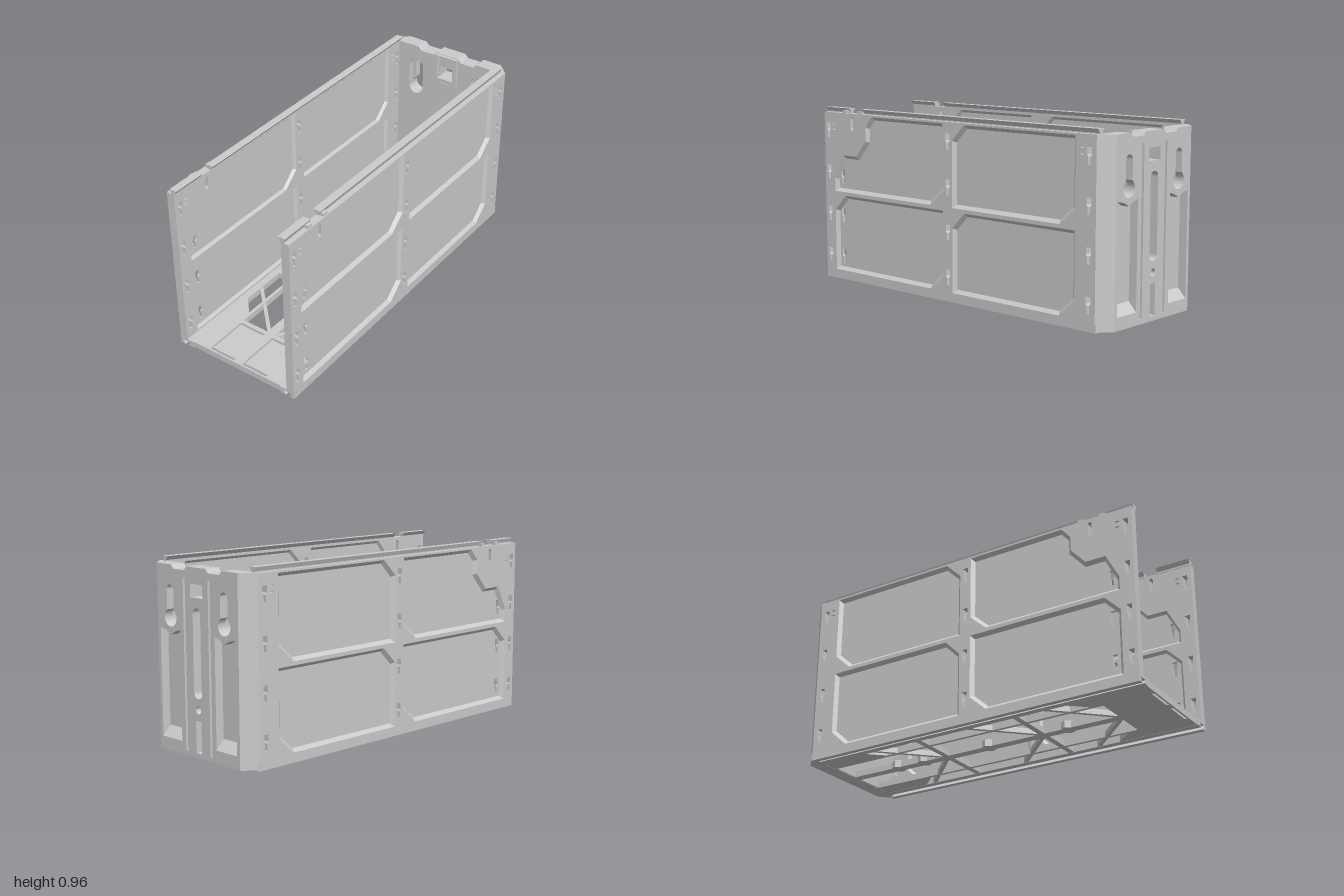
import * as THREE from 'three';

const mat = new THREE.MeshStandardMaterial({ color: 0xcccccc, flatShading: true, side: THREE.DoubleSide });
const V = (x, y) => new THREE.Vector2(x, y);
const pts = (a) => a.map(([x, y]) => V(x, y));
const rect = (x0, y0, x1, y1) => pts([[x0, y0], [x1, y0], [x1, y1], [x0, y1]]);
const circle = (x, y, r, n = 24) => Array.from({ length: n }, (_, i) =>
  V(x + r * Math.cos(i / n * Math.PI * 2), y + r * Math.sin(i / n * Math.PI * 2)));

// vertical slot with round ends; the lower end may be wider than the slot
function keyhole(x, yLow, rLow, yTop, rTop) {
  const out = [], a = Math.acos(rTop / rLow);
  for (let i = 0; i <= 12; i++) {
    const t = i / 12 * Math.PI;
    out.push(V(x + rTop * Math.cos(t), yTop + rTop * Math.sin(t)));
  }
  for (let i = 0; i <= 20; i++) {
    const t = Math.PI - a + i / 20 * (Math.PI + 2 * a);
    out.push(V(x + rLow * Math.cos(t), yLow + rLow * Math.sin(t)));
  }
  return out;
}

function plate(outline, holes, depth) {
  const s = new THREE.Shape(outline);
  s.holes = holes.map((h) => new THREE.Path(h));
  return new THREE.ExtrudeGeometry(s, { depth, bevelEnabled: false });
}

function add(group, name, geo) {
  const m = new THREE.Mesh(geo, mat);
  m.name = name;
  group.add(m);
  return m;
}

function box(group, name, x0, x1, y0, y1, z0, z1) {
  return add(group, name, new THREE.BoxGeometry(x1 - x0, y1 - y0, z1 - z0)
    .translate((x0 + x1) / 2, (y0 + y1) / 2, (z0 + z1) / 2));
}

// polygon moved inward by d
function inset(poly, d) {
  const s = THREE.ShapeUtils.area(poly) > 0 ? 1 : -1, n = poly.length;
  return poly.map((p, i) => {
    const a = p.clone().sub(poly[(i + n - 1) % n]).normalize();
    const b = poly[(i + 1) % n].clone().sub(p).normalize();
    const na = V(-a.y * s, a.x * s), nb = V(-b.y * s, b.x * s);
    return p.clone().addScaledVector(na.clone().add(nb), d / (1 + na.dot(nb)));
  });
}

// sloped ring between a polygon at height a and its inset at height b
function bevelRing(poly, d, a, b) {
  const q = inset(poly, d), pos = [], n = poly.length;
  for (let i = 0; i < n; i++) {
    const j = (i + 1) % n;
    const A = [poly[i].x, poly[i].y, a], B = [poly[j].x, poly[j].y, a];
    const C = [q[j].x, q[j].y, b], D = [q[i].x, q[i].y, b];
    pos.push(...A, ...B, ...C, ...A, ...C, ...D);
  }
  const g = new THREE.BufferGeometry();
  g.setAttribute('position', new THREE.Float32BufferAttribute(pos, 3));
  g.computeVertexNormals();
  return g;
}

// stepped mounting slot: wide above, narrow below
const mountSlot = (z, y) => pts([[-z - 0.008, y - 0.045], [-z + 0.008, y - 0.045], [-z + 0.008, y - 0.01],
  [-z + 0.015, y], [-z + 0.015, y + 0.035], [-z - 0.015, y + 0.035], [-z - 0.015, y], [-z - 0.008, y - 0.01]]);
const panelOutline = (z0, z1, y0, y1) => pts([[-z0, y0], [-z1 - 0.095, y0], [-z1, y0 + 0.085],
  [-z1, y1], [-z0 + 0.085, y1], [-z0, y1 - 0.085]]);

function sideWall() {
  const g = new THREE.Group();
  const toWall = (geo) => geo.rotateY(Math.PI / 2).translate(0.32, 0, 0);
  const panels = [
    pts([[-0.92, 0.495], [-0.16, 0.495], [-0.065, 0.58], [-0.065, 0.925], [-0.61, 0.925], [-0.66, 0.866],
      [-0.66, 0.79], [-0.74, 0.70], [-0.85, 0.70], [-0.92, 0.567]]),
    panelOutline(0, -0.81, 0.495, 0.925),
    panelOutline(0.92, 0.065, 0.05, 0.475),
    panelOutline(0, -0.81, 0.05, 0.475),
  ];
  const slots = [];
  for (const z of [0.965, 0.032, -0.893])
    for (const y of [0.84, 0.605, 0.37, 0.135]) slots.push(mountSlot(z, y));
  for (const z of [0.92, -0.85])
    for (const y of [0.84, 0.87]) slots.push(rect(-z - 0.011, y - 0.003, -z + 0.011, y + 0.003));
  slots.push(keyhole(-0.77, 0.855, 0.011, 0.905, 0.011));
  add(g, 'wallFrame', toWall(plate(rect(-1, 0.04, 0.93, 0.935), [...panels, ...slots], 0.045)));

  // thin panels with sloped borders on both faces
  const webSlots = [[mountSlot(0.872, 0.585)], [], [mountSlot(0.872, 0.365), mountSlot(0.872, 0.135)], []];
  panels.forEach((p, i) => {
    add(g, 'wallPanel', toWall(plate(p, webSlots[i], 0.013).translate(0, 0, 0.014)));
    add(g, 'outerPanelBevel', toWall(bevelRing(p, 0.018, 0.045, 0.027)));
    add(g, 'innerPanelBevel', toWall(bevelRing(p, 0.014, 0, 0.014)));
  });

  // dovetail rail on the top edge, interrupted by a latch gap
  const rail = pts([[0.317, 0.93], [0.337, 0.93], [0.337, 0.94], [0.345, 0.96], [0.302, 0.96], [0.317, 0.94]]);
  for (const [a, b] of [[-0.93, 0.735], [0.81, 1]])
    add(g, 'topRail', plate(rail, [], b - a).translate(0, 0, a));
  for (const z of [0.715, 0.835]) box(g, 'latchStop', 0.325, 0.36, 0.93, 0.95, z - 0.015, z + 0.015);

  // bottom edge with matching dovetail groove
  const foot = pts([[0.28, 0.04], [0.28, 0.005], [0.317, 0.005], [0.302, 0.026], [0.352, 0.026],
    [0.337, 0], [0.365, 0], [0.365, 0.04]]);
  add(g, 'bottomGroove', plate(foot, [], 1.94).translate(0, 0, -0.94));

  // chamfered rear corner; shape y is -z
  const corner = pts([[0.295, 0.92], [0.365, 0.92], [0.365, 0.935], [0.30, 1], [0.295, 1]]);
  add(g, 'rearCorner', plate(corner, [], 0.93).rotateX(-Math.PI / 2).translate(0, 0.005, 0));
  return g;
}

function backWall() {
  const g = new THREE.Group();
  g.name = 'backWall';
  const half = [[0.30, 0.935], [0.19, 0.935], [0.17, 0.915], [0.09, 0.915], [0.07, 0.935]];
  const outline = pts([[-0.30, 0.005], [0.30, 0.005], ...half, ...half.map(([x, y]) => [-x, y]).reverse()]);
  const windowHole = rect(-0.045, 0.79, 0.045, 0.855);
  const inner = [windowHole, circle(0, 0.245, 0.03)];
  const outer = [windowHole, circle(0, 0.245, 0.02), keyhole(0, 0.33, 0.03, 0.71, 0.03), rect(-0.02, 0.03, 0.02, 0.19)];
  for (const s of [-1, 1]) {
    inner.push(keyhole(s * 0.2, 0.675, 0.045, 0.81, 0.045));
    outer.push(keyhole(s * 0.2, 0.675, 0.045, 0.81, 0.026));
    outer.push(pts([[0.13, 0.07], [0.28, 0.07], [0.28, 0.62], [0.235, 0.61], [0.2, 0.59], [0.165, 0.61], [0.13, 0.62]]
      .map(([x, y]) => [x * s, y])));
    outer.push(rect(s * 0.085, 0.03, s * 0.1, 0.88));
  }
  add(g, 'backInnerPlate', plate(outline, inner, 0.035).translate(0, 0, -0.955));
  add(g, 'backOuterPlate', plate(outline, outer, 0.045).translate(0, 0, -1));
  // countersink of the lower screw hole
  add(g, 'countersink', new THREE.CylinderGeometry(0.042, 0.02, 0.036, 24, 1, true)
    .rotateX(Math.PI / 2).translate(0, 0.245, -0.937));
  // sloped ledges at the foot of the rear pockets
  const ledge = plate(pts([[0.954, 0.07], [1, 0.07], [0.954, 0.12]]), [], 0.15).rotateY(Math.PI / 2);
  for (const x of [0.13, -0.28]) {
    const m = add(g, 'pocketLedge', ledge.clone());
    m.scale.z = 1;
    m.geometry.scale(1, 1, 1).translate(x, 0, 0);
  }
  // raised latch housing around the window
  const housing = rect(-0.073, 0.765, 0.073, 0.932);
  add(g, 'latchHousing', plate(housing, [rect(-0.05, 0.79, 0.05, 0.925)], 0.02).translate(0, 0, -0.92));
  box(g, 'latchLip', -0.027, 0.027, 0.757, 0.768, -0.92, -0.895);
  return g;
}

function floor() {
  const g = new THREE.Group();
  g.name = 'floor';
  const lie = (geo, y) => geo.rotateX(-Math.PI / 2).translate(0, y, 0);
  const holes = [], pockets = [];
  for (const s of [-1, 1]) {
    holes.push(rect(s * 0.025, -0.715, s * 0.182, 0.91));
    holes.push(pts([[0.2, 0.56], [0.285, 0.65], [0.285, -0.56], [0.2, -0.65]].map(([x, y]) => [x * s, y])));
    holes.push(rect(s * 0.025, -0.985, s * 0.182, -0.972));
    pockets.push(rect(s * 0.025, -0.965, s * 0.182, -0.74));
  }
  const outline = rect(-0.295, -0.995, 0.295, 0.94);
  add(g, 'floorBase', lie(plate(outline, holes, 0.02), 0.006));
  add(g, 'floorTop', lie(plate(outline, [...holes, ...pockets], 0.014), 0.026));

  // cross bars and diagonal braces
  for (const z of [-0.305, 0.28]) box(g, 'crossBar', -0.3, 0.3, 0.006, 0.038, z - 0.016, z + 0.016);
  for (const z of [-0.32, 0.27, 0.715])
    for (const s of [-1, 1]) {
      const brace = add(g, 'diagonalBrace', new THREE.BoxGeometry(0.385, 0.028, 0.02));
      brace.position.set(s * 0.152, 0.021, z - 0.14);
      brace.rotation.y = s * Math.PI / 4;
    }
  // hexagonal screw bosses along the spine
  for (const z of [-0.63, -0.46, 0.05 - 0.1, 0.42])
    add(g, 'screwBoss', lie(plate(circle(0, -z, 0.042, 6), [circle(0, -z, 0.018, 16)], 0.038), 0.006));
  return g;
}

export function createModel() {
  const model = new THREE.Group();
  model.name = 'openHousing';
  const left = sideWall();
  left.name = 'leftWall';
  const right = sideWall();
  right.name = 'rightWall';
  right.scale.x = -1;
  model.add(left, right, backWall(), floor());
  return model;
}
